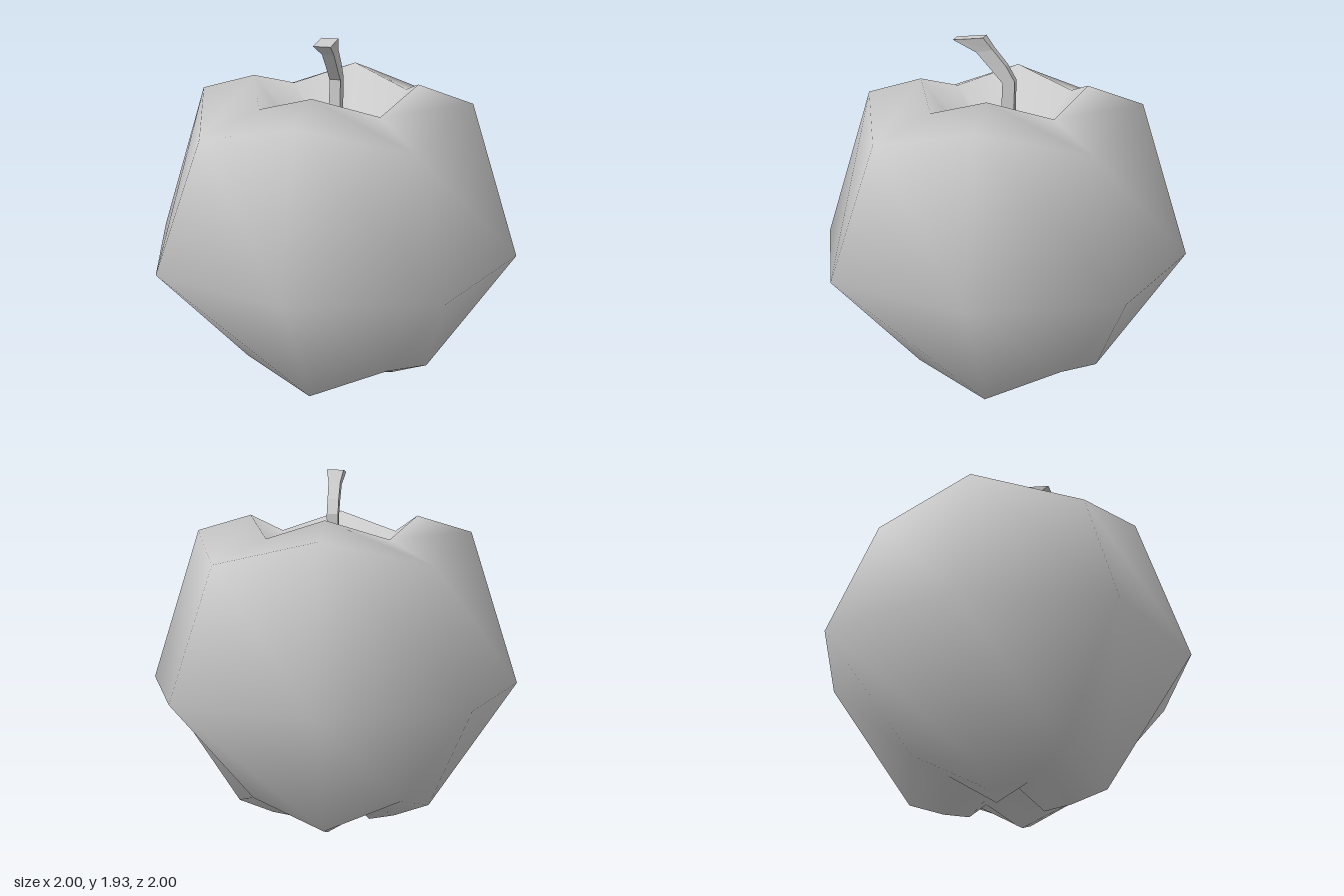
import * as THREE from 'three';
import { mergeVertices } from 'three/addons/utils/BufferGeometryUtils.js';

const grey = () => new THREE.MeshStandardMaterial({ color: 0xcccccc, side: THREE.DoubleSide });

// Joins a stack of equally sized rings of [x, y, z] points into triangles.
function skin(rings) {
  const n = rings[0].length;
  const index = [];
  for (let r = 0; r < rings.length - 1; r++) {
    for (let i = 0; i < n; i++) {
      const j = (i + 1) % n;
      const a = r * n + i, b = r * n + j, c = a + n, d = b + n;
      // the first and last rings are single points
      if (r < rings.length - 2) index.push(a, c, d);
      if (r > 0) index.push(a, d, b);
    }
  }
  const geometry = new THREE.BufferGeometry();
  geometry.setAttribute('position', new THREE.Float32BufferAttribute(rings.flat(2), 3));
  geometry.setIndex(index);
  return geometry;
}

// Eight-sided fruit: each ring alternates between ribs (on the axes) and
// furrows (on the diagonals). Entries: rib radius, rib y, furrow x and z, furrow y.
function fruitGeometry() {
  const profile = [
    [0, 0.2, 0, 0.2],
    [0.2, 0, 0.15, 0.11],
    [0.34, 0.025, 0.25, 0.15],
    [0.53, 0.09, 0.39, 0.22],
    [1, 0.79, 0.75, 0.79],
    [0.74, 1.605, 0.56, 1.47],
    [0.45, 1.69, 0.32, 1.585],
    [0.11, 1.23, 0.055, 1.23],
    [0, 1.2, 0, 1.2],
  ];
  const rings = profile.map(([ribR, ribY, furrowXZ, furrowY]) =>
    Array.from({ length: 8 }, (_, i) => {
      const rib = i % 2 === 0;
      const radius = rib ? ribR : furrowXZ * Math.SQRT2;
      const angle = i * Math.PI / 4;
      return [radius * Math.cos(angle), rib ? ribY : furrowY, radius * Math.sin(angle)];
    }));
  const geometry = mergeVertices(skin(rings));
  geometry.computeVertexNormals();
  return geometry;
}

// Square stalk, bending forward and flaring at the tip.
// Entries: half width, front z, front y, back z, back y.
function stalkGeometry() {
  const sections = [
    [0.03, 0.02, 1.18, -0.04, 1.18],
    [0.03, 0.01, 1.45, -0.06, 1.45],
    [0.03, 0.0, 1.69, -0.065, 1.7],
    [0.03, 0.065, 1.765, -0.02, 1.78],
    [0.032, 0.14, 1.85, 0.05, 1.865],
    [0.046, 0.26, 1.915, 0.1, 1.93],
  ];
  const rings = sections.map(([w, zf, yf, zb, yb]) =>
    [[w, yb, zb], [w, yf, zf], [-w, yf, zf], [-w, yb, zb]]);
  // closing points at both ends
  const middle = ring => {
    const p = [0, 1, 2].map(k => (ring[0][k] + ring[2][k]) / 2);
    return [p, p, p, p];
  };
  const geometry = skin([middle(rings[0]), ...rings, middle(rings[rings.length - 1])]).toNonIndexed();
  geometry.computeVertexNormals();
  return geometry;
}

export function createModel() {
  const apple = new THREE.Group();
  apple.name = 'apple';

  const fruit = new THREE.Mesh(fruitGeometry(), grey());
  fruit.name = 'fruit';

  const stalk = new THREE.Mesh(stalkGeometry(), grey());
  stalk.name = 'stalk';
  stalk.material.flatShading = true;

  apple.add(fruit, stalk);
  return apple;
}
